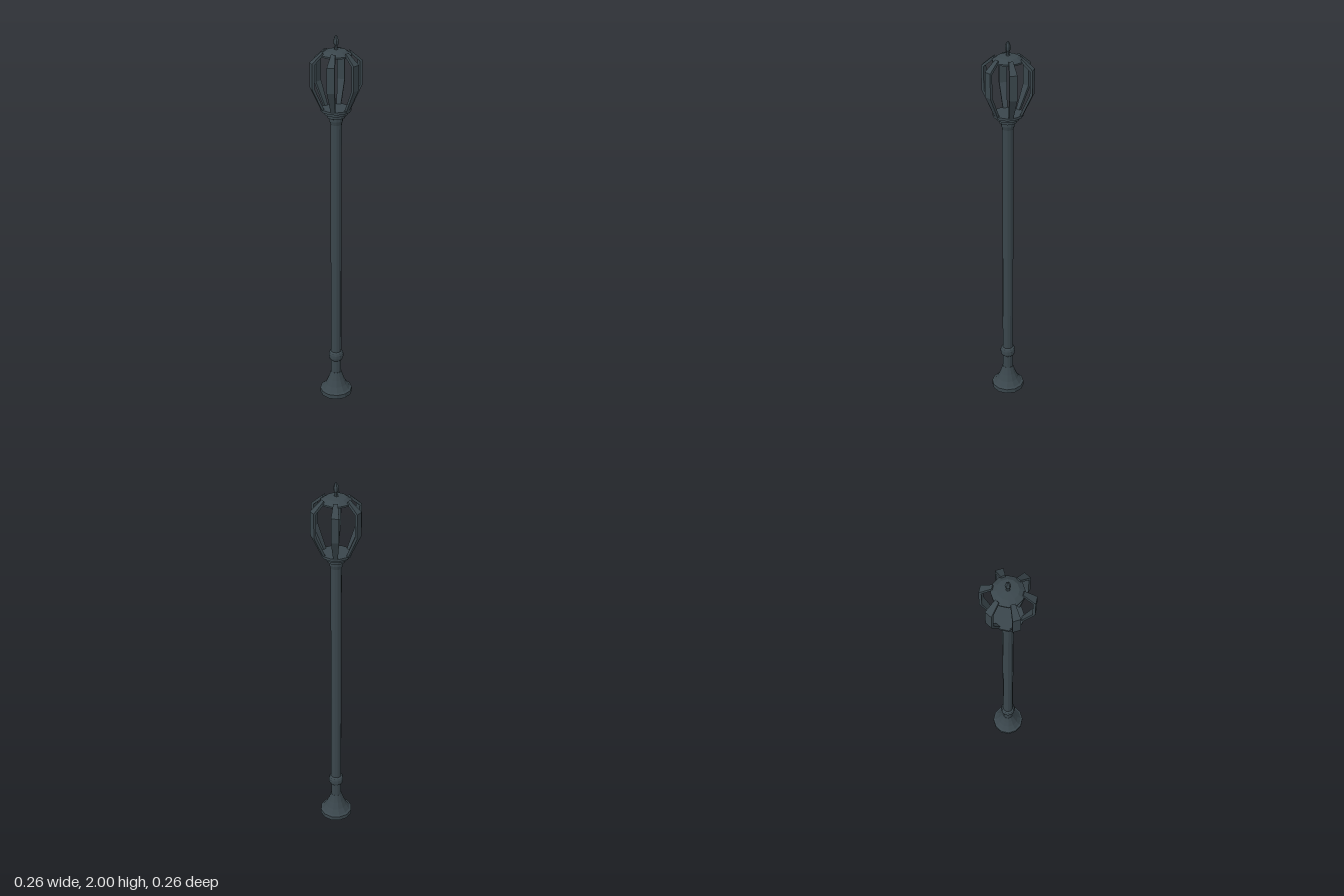
import * as THREE from 'three';

const metal = new THREE.MeshStandardMaterial({ color: 0x3a464c, flatShading: true, side: THREE.DoubleSide });

// Faceted turned part from [radius, height] pairs, bottom to top
function turned(name, profile, sides = 12) {
  const points = profile.map(([r, y]) => new THREE.Vector2(r, y));
  const mesh = new THREE.Mesh(new THREE.LatheGeometry(points, sides), metal);
  mesh.name = name;
  return mesh;
}

// Bent flat bar running out along +x; each section is [radius, height, width, inner radius, inner height]
function barGeometry(sections) {
  const positions = [], index = [];
  for (const [r, y, w, ri, yi] of sections) {
    positions.push(r, y, w / 2, r, y, -w / 2, ri, yi, -w / 2, ri, yi, w / 2);
  }
  for (let s = 0; s < sections.length - 1; s++) {
    for (let k = 0; k < 4; k++) {
      const a = s * 4 + k, b = s * 4 + (k + 1) % 4;
      index.push(a, b, b + 4, a, b + 4, a + 4);
    }
  }
  const e = (sections.length - 1) * 4;
  index.push(0, 2, 1, 0, 3, 2, e, e + 1, e + 2, e, e + 2, e + 3);
  const geometry = new THREE.BufferGeometry();
  geometry.setAttribute('position', new THREE.Float32BufferAttribute(positions, 3));
  geometry.setIndex(index);
  geometry.computeVertexNormals();
  return geometry;
}

export function createModel() {
  const lamp = new THREE.Group();
  lamp.name = 'lampPost';

  // Flared foot
  lamp.add(turned('base', [
    [0, 0], [0.087, 0], [0.087, 0.024], [0.076, 0.03], [0.058, 0.055],
    [0.043, 0.088], [0.034, 0.115], [0.029, 0.132], [0, 0.132],
  ]));

  // Shaft and the bulging collar near its foot
  lamp.add(turned('pole', [[0.028, 0.12], [0.028, 1.6]]));
  lamp.add(turned('collar', [
    [0.028, 0.205], [0.036, 0.212], [0.04, 0.224], [0.04, 0.242], [0.036, 0.254], [0.028, 0.26],
  ]));

  // Stepped cup under the lantern
  lamp.add(turned('lanternCup', [
    [0.028, 1.555], [0.034, 1.575], [0.034, 1.588], [0.045, 1.592], [0.045, 1.605],
    [0.059, 1.609], [0.059, 1.621], [0.075, 1.625], [0.075, 1.638], [0, 1.638],
  ]));

  // Six bent bars forming the cage
  const bar = barGeometry([
    [0.074, 1.632, 0.021, 0.061, 1.632],
    [0.1275, 1.748, 0.038, 0.115, 1.751],
    [0.1275, 1.872, 0.038, 0.115, 1.867],
    [0.07, 1.922, 0.021, 0.065, 1.908],
  ]);
  const cage = new THREE.Group();
  cage.name = 'lanternCage';
  for (let i = 0; i < 6; i++) {
    const mesh = new THREE.Mesh(bar, metal);
    mesh.name = 'cageBar';
    mesh.rotation.y = Math.PI / 12 + i * Math.PI / 3;
    cage.add(mesh);
  }
  lamp.add(cage);

  // Shallow cap and finial
  lamp.add(turned('lanternCap', [
    [0, 1.9], [0.076, 1.9], [0.076, 1.908], [0.05, 1.925], [0, 1.931],
  ]));
  lamp.add(turned('finial', [
    [0.013, 1.925], [0.008, 1.935], [0.007, 1.948], [0.013, 1.957],
    [0.014, 1.972], [0.009, 1.99], [0, 2],
  ], 6));

  return lamp;
}
